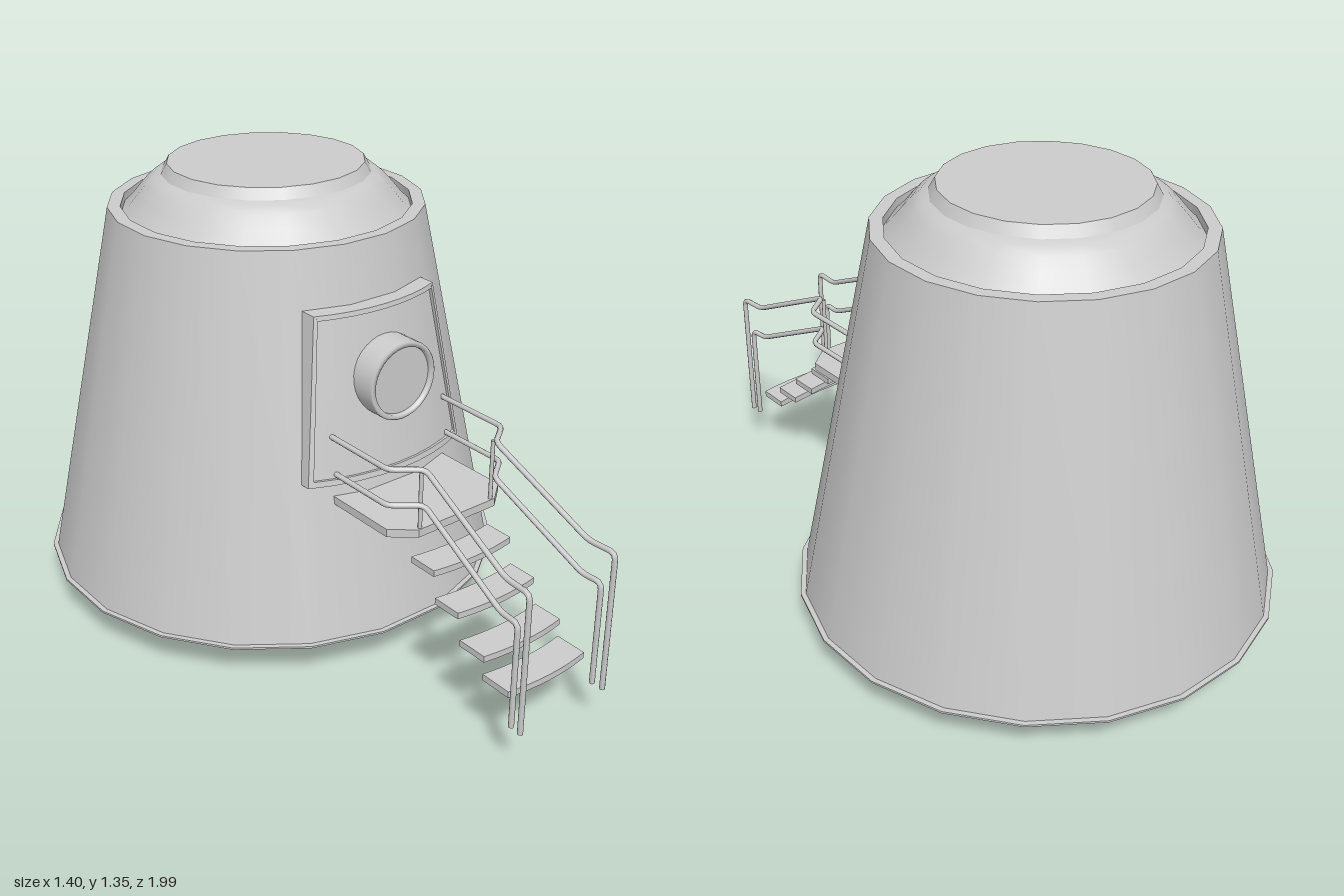
import * as THREE from 'three';

const CZ = -0.295; // axis of the capsule
const MAT = new THREE.MeshStandardMaterial({ color: 0xcccccc });
const MAT2 = new THREE.MeshStandardMaterial({ color: 0xcccccc, side: THREE.DoubleSide });

function add(parent, name, geo, mat = MAT) {
  const m = new THREE.Mesh(geo, mat);
  m.name = name;
  parent.add(m);
  return m;
}

// Turned surface with 20 sides and a flat facing the front
function turned(parent, name, pts) {
  const geo = new THREE.LatheGeometry(pts.map(p => new THREE.Vector2(...p)), 20, Math.PI / 20);
  add(parent, name, geo, MAT2).position.z = CZ;
}

const bodyRadius = y => 0.695 - 0.228 * (y - 0.12) / 1.105;

// Slab that follows the hull: s runs across the door (-1..1), y up, off outwards
function doorSlab(parent, name, s0, s1, y0, y1, off) {
  const geo = new THREE.BoxGeometry(1, 1, 1, 8, 2, 1);
  const p = geo.attributes.position;
  for (let i = 0; i < p.count; i++) {
    const s = s0 + (s1 - s0) * (p.getX(i) + 0.5);
    const y = y0 + (y1 - y0) * (p.getY(i) + 0.5);
    const k = (y - 0.585) / 0.475;
    const x = s * (0.277 - 0.065 * k);
    const o = p.getZ(i) > 0 ? off * (0.6 + 0.4 * k) : -0.02;
    p.setXYZ(i, x, y, CZ + Math.sqrt((bodyRadius(y) + o) ** 2 - x * x));
  }
  geo.computeVertexNormals();
  add(parent, name, geo);
}

// Polyline with rounded corners, swept as a pipe
function pipe(parent, name, pts, radius = 0.008, bend = 0.02) {
  const v = pts.map(p => new THREE.Vector3(...p));
  const path = new THREE.CurvePath();
  let from = v[0];
  for (let i = 1; i < v.length - 1; i++) {
    const a = v[i].clone().add(v[i - 1].clone().sub(v[i]).setLength(bend));
    const b = v[i].clone().add(v[i + 1].clone().sub(v[i]).setLength(bend));
    path.add(new THREE.LineCurve3(from, a));
    path.add(new THREE.QuadraticBezierCurve3(a, v[i], b));
    from = b;
  }
  path.add(new THREE.LineCurve3(from, v[v.length - 1]));
  add(parent, name, new THREE.TubeGeometry(path, v.length > 2 ? 90 : 1, radius, 8), MAT2);
}

// Plan outline (x, z) extruded downwards from a top height
function plate(parent, name, shape, top, depth) {
  const geo = new THREE.ExtrudeGeometry(shape, { depth, bevelEnabled: false, curveSegments: 8 });
  geo.rotateX(Math.PI / 2);
  add(parent, name, geo).position.y = top;
}

// Tread outline with a bowed front edge
function treadShape(w, z0, z1, Type = THREE.Shape) {
  const s = new Type();
  s.moveTo(-w, z0);
  s.quadraticCurveTo(0, z0 + 0.025, w, z0);
  s.lineTo(w, z1 - 0.013);
  s.quadraticCurveTo(0, z1 + 0.013, -w, z1 - 0.013);
  s.closePath();
  return s;
}

export function createModel() {
  const model = new THREE.Group();

  // Hull
  const hull = new THREE.Group();
  hull.name = 'hull';
  model.add(hull);
  turned(hull, 'heatShield', [[0, 0], [0.44, 0], [0.485, 0.004], [0.71, 0.114]]);
  turned(hull, 'shieldEdge', [[0.71, 0.114], [0.71, 0.12]]);
  turned(hull, 'shieldLedge', [[0.71, 0.12], [0.69, 0.12]]);
  turned(hull, 'wall', [[0.695, 0.12], [0.468, 1.225]]);
  turned(hull, 'topRim', [[0.468, 1.225], [0.43, 1.225]]);
  turned(hull, 'rimInside', [[0.43, 1.225], [0.43, 1.2]]);
  turned(hull, 'dome', [[0.43, 1.2], [0.405, 1.225], [0.378, 1.258], [0.352, 1.287], [0.33, 1.306], [0.305, 1.314]]);
  turned(hull, 'hatchSide', [[0.308, 1.314], [0.29, 1.345]]);
  turned(hull, 'hatchTop', [[0.29, 1.345], [0, 1.345]]);

  // Door with a raised frame
  const door = new THREE.Group();
  door.name = 'door';
  model.add(door);
  doorSlab(door, 'doorPanel', -0.98, 0.98, 0.59, 1.055, 0.034);
  doorSlab(door, 'doorFrameTop', -1, 1, 1.048, 1.062, 0.046);
  doorSlab(door, 'doorFrameBottom', -1, 1, 0.585, 0.602, 0.046);
  for (const s of [-1, 1])
    doorSlab(door, 'doorFrameSide', Math.min(s, s * 0.95), Math.max(s, s * 0.95), 0.59, 1.055, 0.046);

  // Round window
  const ring = [[0.1, 0.322], [0.1, 0.338], [0.112, 0.338], [0.116, 0.334], [0.116, 0.22]];
  const windowRing = new THREE.LatheGeometry(ring.map(p => new THREE.Vector2(...p)), 32);
  windowRing.rotateX(Math.PI / 2);
  add(door, 'windowRing', windowRing, MAT2).position.y = 0.86;
  add(door, 'windowPane', new THREE.CircleGeometry(0.101, 32)).position.set(0, 0.86, 0.325);

  // Stairs, slightly off the hull's centre line
  const stairs = new THREE.Group();
  stairs.name = 'stairs';
  stairs.position.x = 0.013;
  model.add(stairs);
  const deck = new THREE.Shape([[-0.207, 0.25], [0.207, 0.25], [0.207, 0.505], [0.14, 0.56], [-0.14, 0.56], [-0.207, 0.505]]
    .map(p => new THREE.Vector2(...p)));
  plate(stairs, 'landing', deck, 0.538, 0.024);

  // Treads are shallow trays, open below
  for (const [top, z0, z1] of [[0.443, 0.535, 0.64], [0.361, 0.635, 0.74], [0.281, 0.738, 0.845], [0.224, 0.83, 0.94]]) {
    plate(stairs, 'treadTop', treadShape(0.142, z0, z1), top, 0.006);
    const rim = treadShape(0.142, z0, z1);
    rim.holes.push(treadShape(0.13, z0 + 0.01, z1 - 0.01, THREE.Path));
    plate(stairs, 'treadRim', rim, top - 0.006, 0.013);
  }

  // Handrails
  for (const s of [-1, 1]) {
    pipe(stairs, 'upperRail', [[s * 0.155, 0.135, 0.99], [s * 0.155, 0.562, 0.99], [s * 0.15, 0.562, 0.9],
      [s * 0.128, 0.72, 0.565], [s * 0.207, 0.72, 0.505], [s * 0.207, 0.72, 0.25]]);
    pipe(stairs, 'lowerRail', [[s * 0.153, 0.135, 0.955], [s * 0.153, 0.455, 0.955], [s * 0.149, 0.455, 0.89],
      [s * 0.128, 0.612, 0.565], [s * 0.207, 0.612, 0.505], [s * 0.207, 0.612, 0.26]]);
    pipe(stairs, 'railPost', [[s * 0.13, 0.52, 0.552], [s * 0.13, 0.72, 0.552]], 0.006);
  }

  return model;
}
